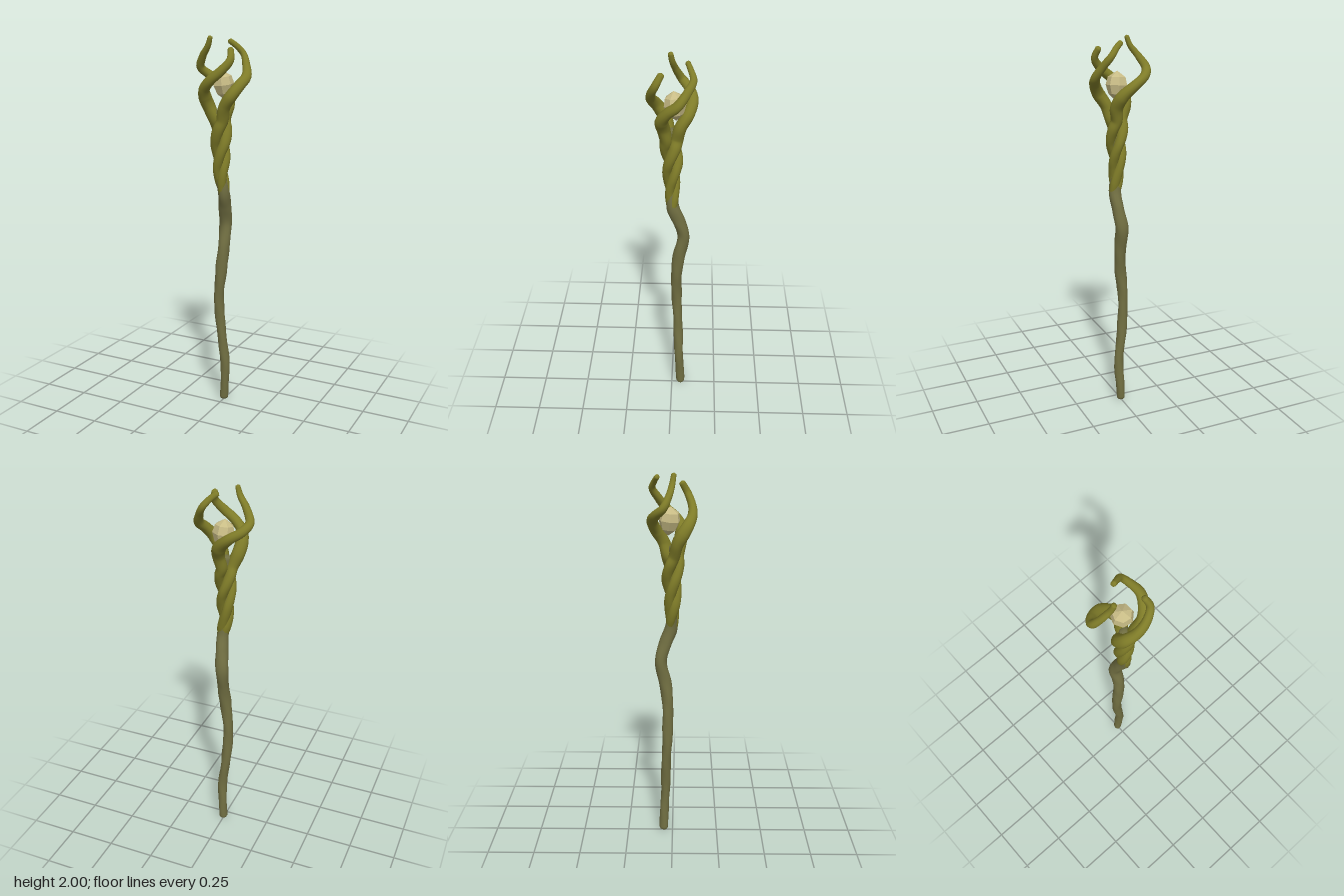
import * as THREE from 'three';
import { mergeVertices } from 'three/addons/utils/BufferGeometryUtils.js';

const trunkMat = new THREE.MeshStandardMaterial({ color: 0x716f42 });
const vineMat = new THREE.MeshStandardMaterial({ color: 0x7f7c28 });
const gemMat = new THREE.MeshStandardMaterial({ color: 0xc8bc86, flatShading: true });

// Linear lookup in rows of [y, value...]
function lookup(rows, y, k) {
  if (y <= rows[0][0]) return rows[0][k];
  for (let i = 1; i < rows.length; i++) {
    const a = rows[i - 1], b = rows[i];
    if (y <= b[0]) return THREE.MathUtils.lerp(a[k], b[k], (y - a[0]) / (b[0] - a[0]));
  }
  return rows[rows.length - 1][k];
}

// Closed, rounded branch whose radius depends on height, with gentle knots
function branch(name, points, radii, rings, material, seed) {
  const curve = new THREE.CatmullRomCurve3(points.map(p => new THREE.Vector3(...p)));
  const sides = 14;
  const geo = new THREE.TubeGeometry(curve, rings, 1, sides);
  const pos = geo.attributes.position;
  const length = curve.getLength();
  const v = new THREE.Vector3();
  for (let i = 0; i <= rings; i++) {
    const u = i / rings;
    const c = curve.getPointAt(u);
    const r = lookup(radii, c.y, 1);
    // dome over both ends
    const d = Math.min(1, Math.min(u, 1 - u) * length / (r * 0.8));
    const dome = Math.sqrt(1 - (1 - d) ** 2);
    for (let j = 0; j <= sides; j++) {
      const k = i * (sides + 1) + j;
      const a = (j % sides) / sides * Math.PI * 2;
      const knot = 1 + 0.05 * Math.sin(2 * a + c.y * 23 + seed) + 0.03 * Math.sin(3 * a - c.y * 41 + seed);
      v.fromBufferAttribute(pos, k).sub(c).multiplyScalar(r * dome * knot).add(c);
      pos.setXYZ(k, v.x, v.y, v.z);
    }
  }
  geo.deleteAttribute('uv');
  geo.deleteAttribute('normal');
  const smooth = mergeVertices(geo, 1e-5);
  smooth.computeVertexNormals();
  const mesh = new THREE.Mesh(smooth, material);
  mesh.name = name;
  return mesh;
}

export function createModel() {
  const group = new THREE.Group();
  group.name = 'staff';

  // Crooked shaft, tapering away inside the twisted vines
  const shaft = [
    [0, 0, -0.05], [0.005, 0.1, -0.047], [0.01, 0.23, -0.04], [-0.01, 0.42, -0.035], [-0.02, 0.6, -0.027],
    [-0.005, 0.78, -0.026], [0.003, 0.9, -0.04], [0.002, 1.02, -0.062], [0.012, 1.12, -0.035],
    [0.018, 1.2, -0.007], [0.003, 1.31, 0], [0.005, 1.45, 0], [0.006, 1.64, 0.005],
  ];
  const shaftRadii = [
    [0, 0.023], [0.25, 0.025], [0.6, 0.027], [0.8, 0.031], [1.0, 0.033], [1.18, 0.033], [1.3, 0.028], [1.64, 0.026],
  ];
  group.add(branch('shaft', shaft, shaftRadii, 220, trunkMat, 0));

  // Three vines wind around the shaft and open into a claw
  const vineRadii = [
    [1.16, 0.018], [1.25, 0.024], [1.45, 0.026], [1.6, 0.031], [1.7, 0.033], [1.78, 0.026],
    [1.85, 0.021], [1.93, 0.016], [2.0, 0.012],
  ];
  const axis = shaft.map(([x, y, z]) => [y, x, z]);
  const claws = [
    { name: 'rightVine', angle: 160, tip: [
      [0.025, 1.65, -0.045], [0.005, 1.71, -0.08], [-0.05, 1.765, -0.1], [-0.11, 1.805, -0.08],
      [-0.135, 1.84, -0.045], [-0.105, 1.9, -0.015], [-0.068, 1.95, 0], [-0.05, 2.0, 0.008]] },
    { name: 'frontVine', angle: -80, tip: [
      [-0.052, 1.65, 0.025], [-0.06, 1.69, 0.045], [-0.05, 1.74, 0.077], [-0.005, 1.785, 0.1],
      [0.05, 1.83, 0.098], [0.092, 1.885, 0.075], [0.08, 1.945, 0.042]] },
    { name: 'leftVine', angle: 40, tip: [
      [0.045, 1.65, 0.04], [0.085, 1.71, 0.045], [0.115, 1.76, 0.015], [0.132, 1.8, -0.03],
      [0.11, 1.86, -0.075], [0.08, 1.91, -0.104], [0.045, 1.95, -0.09], [0.01, 1.978, -0.073]] },
  ];
  claws.forEach(({ name, angle, tip }, n) => {
    const path = [];
    for (let i = 0; i <= 10; i++) {
      const y = 1.16 + i * 0.042;
      const a = THREE.MathUtils.degToRad(angle + (y - 1.58) * 800);
      const out = 0.01 + 0.02 * Math.min(1, i / 7);
      const grow = out * (0.75 + 0.03 * i);
      path.push([lookup(axis, y, 1) + Math.sin(a) * grow, y, lookup(axis, y, 2) + Math.cos(a) * grow]);
    }
    group.add(branch(name, [...path, ...tip], vineRadii, 180, vineMat, n * 2));
  });

  // Faceted gem held in the claw
  const profile = [[0, -0.085], [0.04, -0.05], [0.056, -0.005], [0.046, 0.035], [0, 0.065]]
    .map(p => new THREE.Vector2(...p));
  const gem = new THREE.Mesh(new THREE.LatheGeometry(profile, 7), gemMat);
  gem.name = 'gem';
  gem.position.set(0.01, 1.765, -0.015);
  gem.rotation.set(0.08, 0.3, 0.08);
  group.add(gem);

  return group;
}
